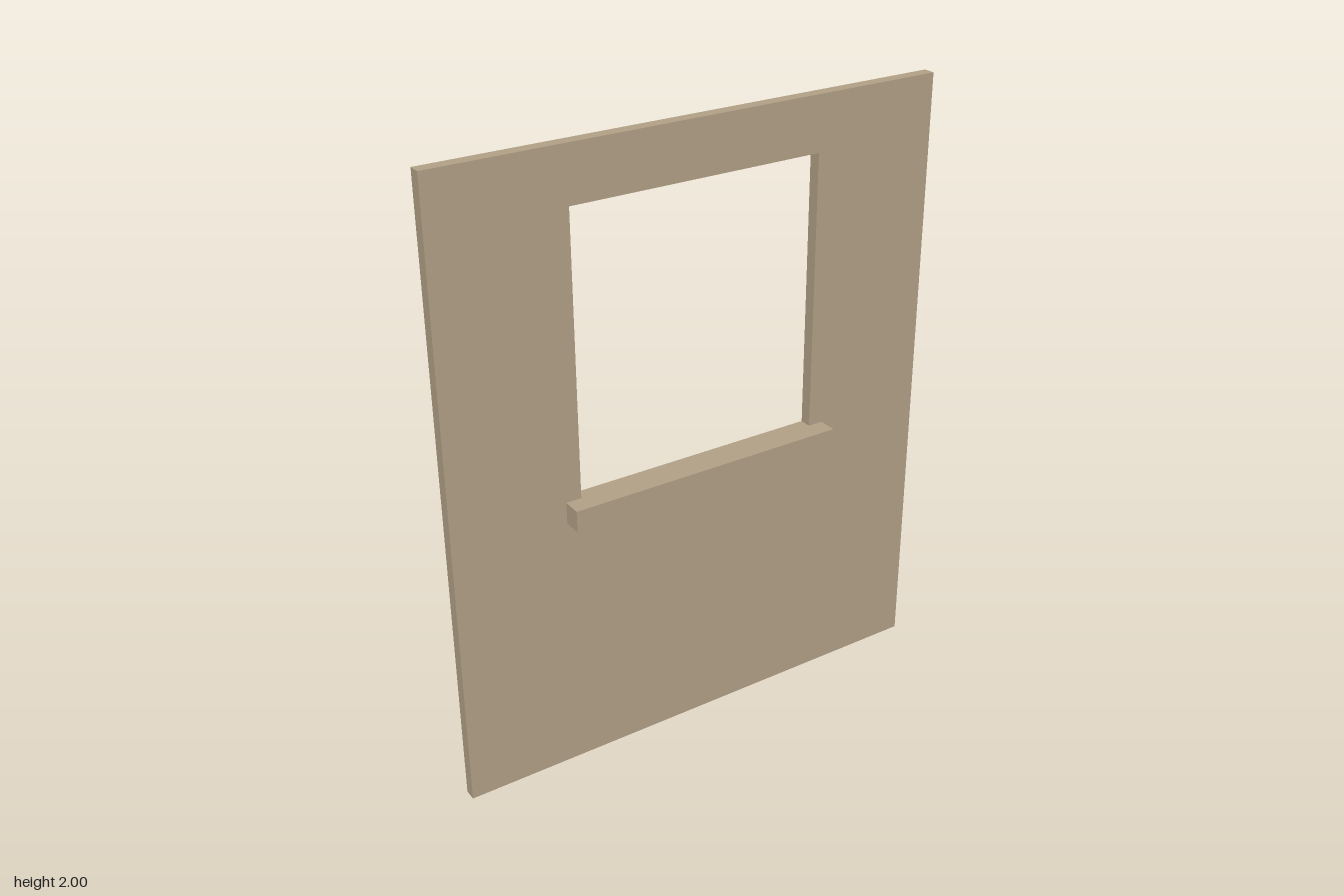
import * as THREE from 'three';

const BACK = -0.05, WALL_FRONT = -0.011, SILL_FRONT = 0.05;
const wall = { x: 0.834, y0: 0, y1: 2 };
const opening = { x: 0.414, y0: 0.883, y1: 1.826 };
const sill = { x: 0.464, y0: 0.863, y1: 0.932 };

export function createModel() {
  const plaster = new THREE.MeshStandardMaterial({ color: 0xb09f85, side: THREE.DoubleSide });
  plaster.name = 'tan plaster';

  const model = new THREE.Group();
  model.name = 'windowWall';

  function add(parent, name, geometry, x = 0, y = 0, z = 0) {
    const mesh = new THREE.Mesh(geometry, plaster);
    mesh.name = name;
    mesh.position.set(x, y, z);
    parent.add(mesh);
    return mesh;
  }

  // Four thin faces around a rectangle, open at front and back;
  // they face outward, or inward for the reveal of an opening
  function addRim(parent, name, r, zFront, side = 1) {
    const depth = zFront - BACK, z = (zFront + BACK) / 2;
    const height = r.y1 - r.y0, mid = (r.y0 + r.y1) / 2;
    for (const s of [-1, 1]) {
      add(parent, name + (s > 0 ? 'Left' : 'Right'), new THREE.PlaneGeometry(depth, height), s * r.x, mid, z)
        .rotation.y = s * side * Math.PI / 2;
      add(parent, name + (s > 0 ? 'Top' : 'Bottom'), new THREE.PlaneGeometry(2 * r.x, depth), 0, s > 0 ? r.y1 : r.y0, z)
        .rotation.x = -s * side * Math.PI / 2;
    }
  }

  function trace(path, r) {
    path.moveTo(-r.x, r.y0);
    path.lineTo(r.x, r.y0);
    path.lineTo(r.x, r.y1);
    path.lineTo(-r.x, r.y1);
    path.closePath();
    return path;
  }

  // Wall: front sheet with the window opening, outer edges and reveal, open at the back
  const wallGroup = new THREE.Group();
  wallGroup.name = 'wall';
  const sheet = trace(new THREE.Shape(), wall);
  sheet.holes.push(trace(new THREE.Path(), opening));
  add(wallGroup, 'wallFront', new THREE.ShapeGeometry(sheet), 0, 0, WALL_FRONT);
  addRim(wallGroup, 'wallEdge', wall, WALL_FRONT);
  addRim(wallGroup, 'windowReveal', opening, WALL_FRONT, -1);

  // Sill: hollow bar running through the wall, open at the back
  const sillGroup = new THREE.Group();
  sillGroup.name = 'windowSill';
  add(sillGroup, 'sillFront', new THREE.ShapeGeometry(trace(new THREE.Shape(), sill)), 0, 0, SILL_FRONT);
  addRim(sillGroup, 'sill', sill, SILL_FRONT);

  model.add(wallGroup, sillGroup);
  return model;
}
